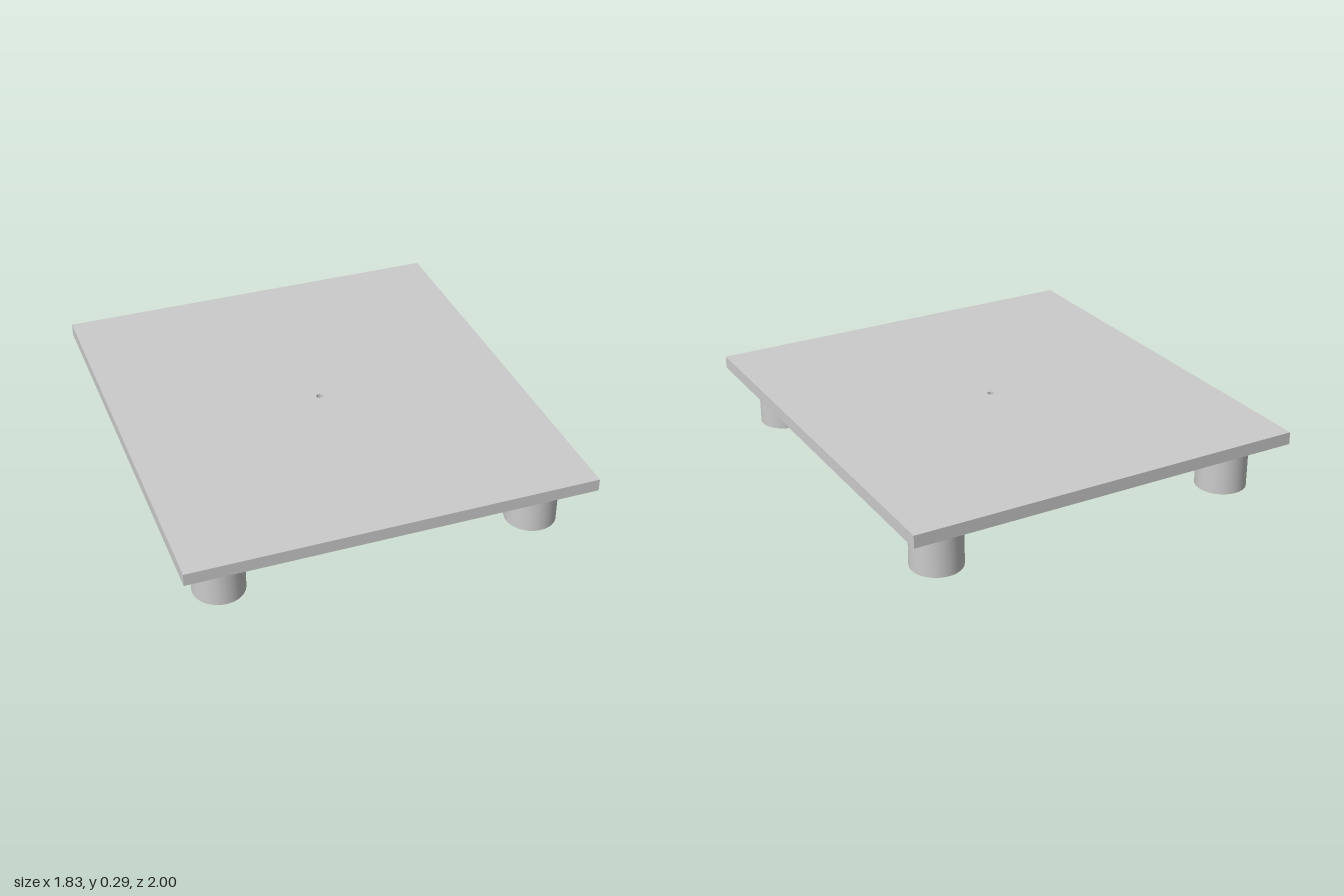
import * as THREE from 'three';
import { toCreasedNormals } from 'three/addons/utils/BufferGeometryUtils.js';

const LEG_HEIGHT = 0.233;
const PLATE_THICKNESS = 0.057;

export function createModel() {
  const model = new THREE.Group();
  model.name = 'platform';
  const grey = new THREE.MeshStandardMaterial({ color: 0xcccccc });
  grey.name = 'light grey';

  // Flat plate with a small through hole near the middle
  const outline = new THREE.Shape([
    new THREE.Vector2(-0.917, -1),
    new THREE.Vector2(0.917, -1),
    new THREE.Vector2(0.917, 1),
    new THREE.Vector2(-0.917, 1),
  ]);
  outline.holes.push(new THREE.Path().absarc(0.013, 0, 0.015, 0, Math.PI * 2, true));
  const plateGeometry = new THREE.ExtrudeGeometry(outline, {
    depth: PLATE_THICKNESS, bevelEnabled: false, curveSegments: 16,
  });
  plateGeometry.rotateX(-Math.PI / 2);
  const plate = new THREE.Mesh(toCreasedNormals(plateGeometry, 0.6), grey);
  plate.name = 'plate';
  plate.position.y = LEG_HEIGHT;
  model.add(plate);

  // Hollow tubular leg, open at the bottom
  const inner = 0.087, outer = 0.115;
  const profile = [
    [inner, 0], [outer, 0], [outer, LEG_HEIGHT], [inner, LEG_HEIGHT], [inner, 0],
  ].map(([r, y]) => new THREE.Vector2(r, y));
  const legGeometry = toCreasedNormals(new THREE.LatheGeometry(profile, 40), 0.6);

  for (const [xName, x] of [['Right', -0.718], ['Left', 0.713]]) {
    for (const [zName, z] of [['front', 0.79], ['back', -0.79]]) {
      const leg = new THREE.Mesh(legGeometry, grey);
      leg.name = `${zName}${xName}Leg`;
      leg.position.set(x, 0, z);
      model.add(leg);
    }
  }
  return model;
}
